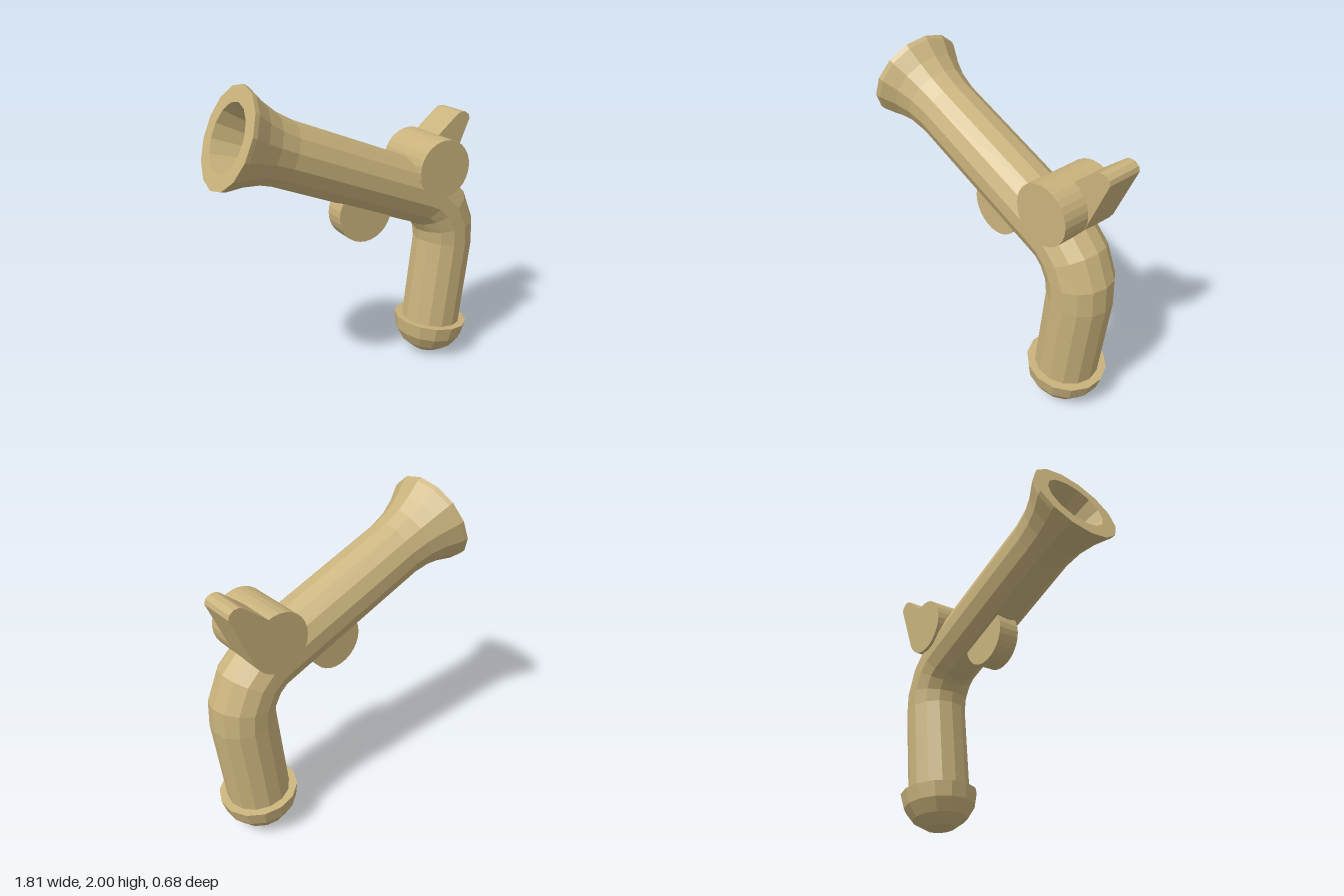
import * as THREE from 'three';

const SIDES = 14;
const material = new THREE.MeshStandardMaterial({
  color: 0xc9b27c, flatShading: true, side: THREE.DoubleSide,
});

// Sweeps round rings along a path in the xy plane; station = [x, y, heading in degrees, radius]
function sweep(stations) {
  const pos = [], index = [];
  for (const [x, y, deg, r] of stations) {
    const a = THREE.MathUtils.degToRad(deg);
    for (let j = 0; j < SIDES; j++) {
      const p = (j / SIDES) * Math.PI * 2;
      const n = r * Math.cos(p);
      pos.push(x - Math.sin(a) * n, y + Math.cos(a) * n, r * Math.sin(p));
    }
  }
  for (let i = 0; i < stations.length - 1; i++) {
    for (let j = 0; j < SIDES; j++) {
      const k = (j + 1) % SIDES;
      const a = i * SIDES + j, b = i * SIDES + k;
      index.push(a, b, a + SIDES, b, b + SIDES, a + SIDES);
    }
  }
  const g = new THREE.BufferGeometry();
  g.setAttribute('position', new THREE.Float32BufferAttribute(pos, 3));
  g.setIndex(index);
  g.computeVertexNormals();
  return g;
}

export function createModel() {
  const model = new THREE.Group();
  model.name = 'toyPistol';

  // Everything lies in one upright plane, turned slightly about y
  const body = new THREE.Group();
  body.name = 'body';
  body.rotation.y = -0.095;
  body.position.z = 0.03;
  model.add(body);

  const add = (name, geometry) => {
    const mesh = new THREE.Mesh(geometry, material);
    mesh.name = name;
    body.add(mesh);
    return mesh;
  };

  // Bore, flared muzzle, barrel, bend and grip as one sweep
  const heading = -22.3;
  const h = THREE.MathUtils.degToRad(heading);
  const muzzle = [
    [0.42, 0], [0.42, 0.1], [0, 0.205], [0, 0.305], [0.03, 0.299],
    [0.13, 0.249], [0.23, 0.216], [0.35, 0.2],
  ].map(([s, r]) => [-0.795 + s * Math.cos(h), 1.72 + s * Math.sin(h), heading, r]);
  add('barrelAndGrip', sweep([
    ...muzzle,
    [0.47, 1.2, heading, 0.2],
    [0.565, 1.155, -38, 0.2],
    [0.645, 1.078, -61, 0.202],
    [0.702, 0.955, -83, 0.202],
    [0.71, 0.835, -97, 0.2],
    [0.637, 0.24, -97, 0.2],
  ]));

  // Rounded cap under the grip
  const capProfile = [];
  for (let i = 0; i <= 4; i++) {
    const a = (i / 4) * Math.PI / 2;
    capProfile.push(new THREE.Vector2(0.25 * Math.sin(a), -0.25 * Math.cos(a)));
  }
  capProfile.push(new THREE.Vector2(0, 0));
  const cap = add('gripCap', new THREE.LatheGeometry(capProfile, SIDES));
  cap.position.set(0.639, 0.253, 0);
  cap.rotation.z = -0.125;

  // Disc trigger half sunk into the barrel
  const trigger = add('trigger', new THREE.CylinderGeometry(0.185, 0.185, 0.14, 28));
  trigger.rotation.x = Math.PI / 2;
  trigger.position.set(0.055, 1.145, 0);

  // Hammer drum across the back of the barrel
  const drum = add('hammerDrum', new THREE.CylinderGeometry(0.187, 0.187, 0.41, 28));
  drum.rotation.x = Math.PI / 2;
  drum.position.set(0.56, 1.382, -0.01);

  // Hammer lever, flush with the far end of the drum
  const lever = new THREE.Shape([
    [0.56, 1.38], [0.725, 1.29], [0.875, 1.635], [0.867, 1.663], [0.84, 1.683],
    [0.803, 1.686], [0.777, 1.673], [0.625, 1.55],
  ].map(([x, y]) => new THREE.Vector2(x, y)));
  add('hammerLever', new THREE.ExtrudeGeometry(lever, { depth: 0.235, bevelEnabled: false }))
    .position.z = -0.215;

  return model;
}
